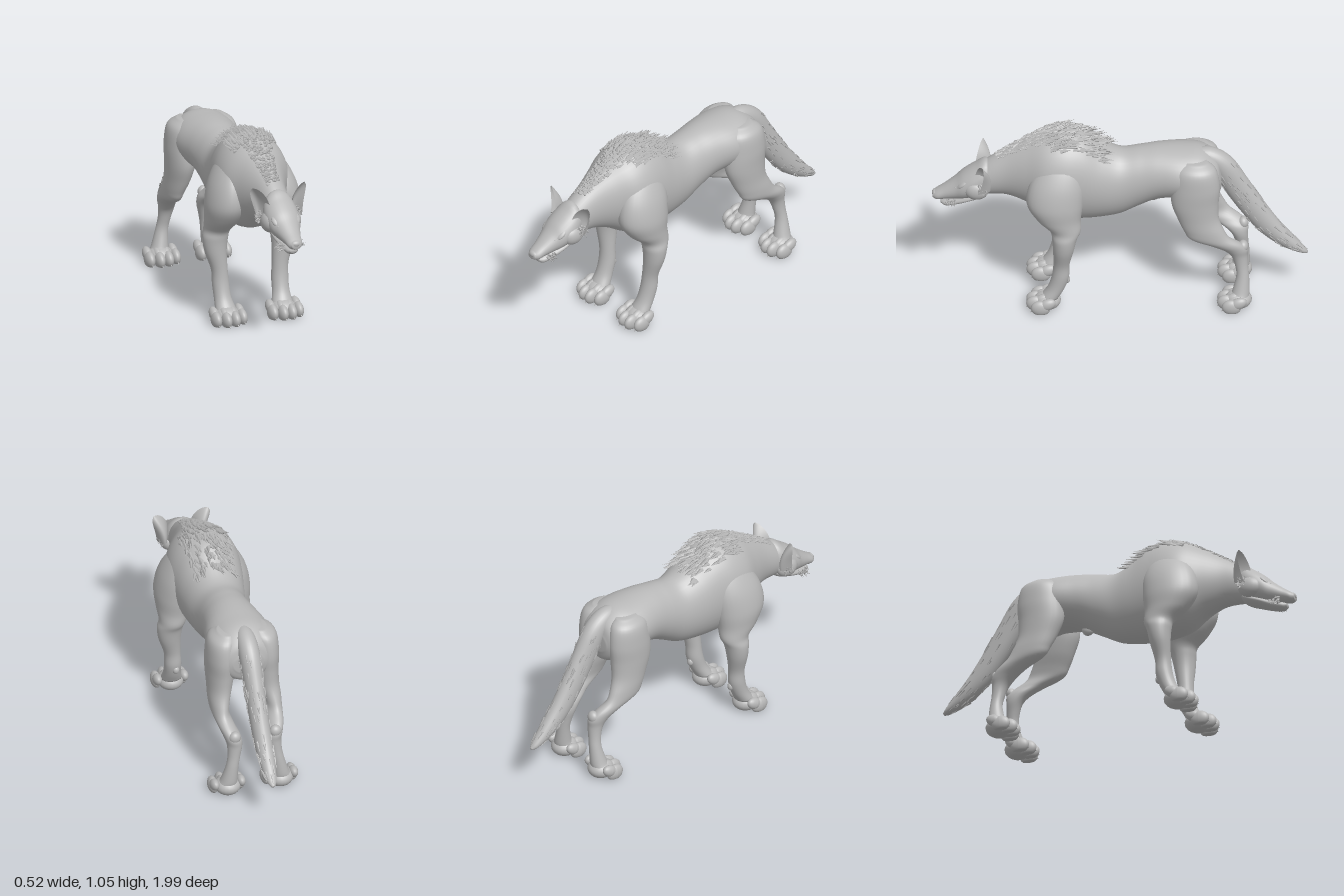
import * as THREE from 'three';
import { mergeGeometries } from 'three/addons/utils/BufferGeometryUtils.js';

const fur = new THREE.MeshStandardMaterial({ color: 0xb8b8b8, side: THREE.DoubleSide });
fur.name = 'grey fur';
const V = (x, y, z) => new THREE.Vector3(x, y, z);

let seed = 7;
const rnd = () => (seed = (seed * 16807) % 2147483647) / 2147483647;
const span = (a, b) => a + (b - a) * rnd();

function add(parent, name, geometry) {
  const m = new THREE.Mesh(geometry, fur);
  m.name = name;
  parent.add(m);
}

// Surface through sections [x, y, z, radius across, radius other way].
// mode 'z' / 'y' keeps rings in planes facing that axis, 'path' follows the curve.
function makeSkin(sections, mode) {
  const centre = new THREE.CatmullRomCurve3(sections.map(s => V(s[0], s[1], s[2])), false, 'catmullrom', 0.5);
  const radius = new THREE.CatmullRomCurve3(sections.map(s => V(s[3], s[4], 0)), false, 'catmullrom', 0.5);
  return (t, a) => {
    const c = centre.getPoint(t), r = radius.getPoint(t);
    const T = mode === 'z' ? V(0, 0, 1) : mode === 'y' ? V(0, 1, 0) : centre.getTangent(t);
    const U = V(1, 0, 0).addScaledVector(T, -T.x).normalize();
    const W = T.clone().cross(U);
    return c.addScaledVector(U, Math.cos(a) * r.x).addScaledVector(W, Math.sin(a) * r.y);
  };
}

function loft(sections, mode, radial = 28, per = 6) {
  const skin = makeSkin(sections, mode), n = (sections.length - 1) * per;
  const pos = [], idx = [];
  for (let i = 0; i <= n; i++)
    for (let j = 0; j < radial; j++) pos.push(...skin(i / n, j / radial * Math.PI * 2).toArray());
  for (let i = 0; i < n; i++)
    for (let j = 0; j < radial; j++) {
      const a = i * radial + j, b = i * radial + (j + 1) % radial;
      idx.push(a, b, b + radial, a, b + radial, a + radial);
    }
  // end caps
  const first = sections[0], last = sections[sections.length - 1], k = (n + 1) * radial;
  pos.push(first[0], first[1], first[2], last[0], last[1], last[2]);
  for (let j = 0; j < radial; j++) {
    const q = (j + 1) % radial;
    idx.push(k, q, j, k + 1, n * radial + j, n * radial + q);
  }
  const g = new THREE.BufferGeometry();
  g.setAttribute('position', new THREE.Float32BufferAttribute(pos, 3));
  g.setIndex(idx);
  g.computeVertexNormals();
  return g;
}

// rows [z, top, bottom, half width] become centred sections
const trunk = rows => rows.map(([z, t, b, w]) => [0, (t + b) / 2, z, w, (t - b) / 2]);

function blob(x, y, z, rx, ry, rz, tilt = 0) {
  const g = new THREE.SphereGeometry(1, 22, 16).scale(rx, ry, rz);
  return g.rotateX(tilt).translate(x, y, z);
}

// blob standing flat on the ground
function pad(...args) {
  const g = blob(...args), p = g.attributes.position;
  for (let i = 0; i < p.count; i++) p.setY(i, Math.max(p.getY(i), 0.003));
  g.computeVertexNormals();
  return g;
}

// flat pointed lock of hair
function lock(p, dir, len, r) {
  const g = new THREE.ConeGeometry(r, len, 5).scale(1, 1, 0.6).translate(0, len * 0.35, 0);
  g.applyQuaternion(new THREE.Quaternion().setFromUnitVectors(V(0, 1, 0), dir.normalize()));
  return g.translate(p.x, p.y, p.z);
}

// pad, four toes and claws; z is the front edge of the paw
function paw(parent, name, s, x, z) {
  const parts = [pad(s * x, 0.045, z - 0.115, 0.07, 0.05, 0.072)];
  for (let i = 0; i < 4; i++) {
    const o = (i - 1.5) * 0.048, back = Math.abs(i - 1.5) > 1 ? 0.025 : 0;
    const tx = s * x + o;
    parts.push(pad(tx, 0.036, z - 0.055 - back, 0.027, 0.044, 0.052));
    parts.push(pad(tx, 0.058, z - 0.09 - back, 0.025, 0.032, 0.048, 0.45));
    parts.push(lock(V(tx, 0.02, z - 0.014 - back), V(0, -0.7, 1), 0.022, 0.008));
  }
  add(parent, name, mergeGeometries(parts));
}

export function createModel() {
  const wolf = new THREE.Group();
  wolf.name = 'wolf';

  // trunk and neck
  const body = trunk([
    [-0.535, 0.79, 0.68, 0.08], [-0.51, 0.86, 0.62, 0.132], [-0.43, 0.912, 0.6, 0.172], [-0.32, 0.922, 0.63, 0.174],
    [-0.2, 0.922, 0.615, 0.152], [-0.1, 0.91, 0.567, 0.142], [0, 0.9, 0.515, 0.145], [0.1, 0.945, 0.495, 0.165],
    [0.2, 1.012, 0.487, 0.185], [0.3, 1.03, 0.493, 0.2], [0.4, 1.01, 0.522, 0.188], [0.5, 0.96, 0.585, 0.135],
    [0.6, 0.9, 0.622, 0.094], [0.7, 0.835, 0.625, 0.076], [0.78, 0.77, 0.62, 0.06]]);
  add(wolf, 'body', loft(body, 'z', 40));
  add(wolf, 'bellySheath', blob(0, 0.612, -0.175, 0.022, 0.035, 0.035));

  // mane of ragged locks along the withers
  const skin = makeSkin(body, 'z'), locks = [];
  for (let i = 0; i < 420; i++) {
    const t = span(6.8, 12.6) / 14, fade = t > 10 / 14 ? 0.65 : 1;
    const a = Math.PI / 2 + span(-0.7, 0.7) * fade;
    const p = skin(t, a), out = V(Math.cos(a) * 0.4, Math.sin(a) * 0.4, -1);
    out.x += span(-0.25, 0.25);
    out.y += t > 9 / 14 ? 0 : -0.35;
    locks.push(lock(p, out, span(0.04, 0.085) * fade, span(0.009, 0.017) * fade));
  }
  add(wolf, 'mane', mergeGeometries(locks));

  // head
  const head = new THREE.Group();
  head.name = 'head';
  wolf.add(head);
  add(head, 'skull', loft(trunk([
    [0.65, 0.79, 0.66, 0.04], [0.71, 0.835, 0.63, 0.08], [0.77, 0.8, 0.61, 0.093], [0.83, 0.757, 0.6, 0.085],
    [0.875, 0.715, 0.595, 0.066], [0.93, 0.672, 0.59, 0.049], [0.97, 0.645, 0.585, 0.04], [0.993, 0.63, 0.595, 0.024]]), 'z'));
  add(head, 'lowerJaw', loft(trunk([
    [0.68, 0.68, 0.65, 0.03], [0.73, 0.66, 0.608, 0.055], [0.8, 0.63, 0.582, 0.058], [0.87, 0.605, 0.557, 0.046],
    [0.925, 0.59, 0.546, 0.035], [0.95, 0.58, 0.56, 0.018]]), 'z'));
  add(head, 'nose', blob(0, 0.62, 0.977, 0.029, 0.019, 0.02));

  for (const s of [1, -1]) {
    const side = s > 0 ? 'left' : 'right';
    add(head, side + 'Brow', blob(s * 0.044, 0.71, 0.832, 0.036, 0.016, 0.045, 0.7));
    add(head, side + 'Eye', blob(s * 0.05, 0.685, 0.866, 0.012, 0.007, 0.012));
    add(head, side + 'Cheek', blob(s * 0.068, 0.68, 0.76, 0.042, 0.055, 0.065));

    // cupped ear: width tapers to the tip, middle pushed back, opening turned outward
    const ear = new THREE.PlaneGeometry(2, 1, 14, 14), q = ear.attributes.position;
    for (let i = 0; i < q.count; i++) {
      const v = q.getX(i), h = q.getY(i) + 0.5;
      const w = 0.043 * Math.pow(1 - h, 0.55) * (0.7 + h) + 0.001;
      q.setXYZ(i, s * (0.095 + 0.053 * h + v * w - 0.014 * Math.sin(h * Math.PI)), 0.7 + 0.167 * h - v * w * 0.35,
        0.762 - 0.035 * h - v * w * 0.45 - 0.075 * (1 - v * v) * (1 - h * h));
    }
    ear.computeVertexNormals();
    add(head, side + 'Ear', ear);

    // tufts on the cheeks and lips
    const tufts = [];
    for (let i = 0; i < 26; i++) {
      tufts.push(lock(V(s * span(0.095, 0.118), span(0.675, 0.735), span(0.71, 0.75)),
        V(s * span(0.3, 1), span(-0.9, 0.5), span(-0.6, 0.3)), span(0.015, 0.032), 0.007));
      tufts.push(lock(V(s * span(0.04, 0.056), span(0.57, 0.605), span(0.865, 0.92)),
        V(s, span(-0.8, 0.6), span(-0.6, 0.4)), span(0.015, 0.045), 0.006));
    }
    add(head, side + 'FaceTufts', mergeGeometries(tufts));

    // front leg, from shoulder blade to wrist in one skin
    const front = new THREE.Group();
    front.name = side + 'FrontLeg';
    wolf.add(front);
    add(front, 'shoulderAndLeg', loft([
      [s * 0.09, 0.93, 0.3, 0.03, 0.05], [s * 0.122, 0.87, 0.315, 0.058, 0.105], [s * 0.143, 0.77, 0.335, 0.09, 0.145],
      [s * 0.155, 0.66, 0.345, 0.103, 0.15], [s * 0.164, 0.57, 0.325, 0.09, 0.118], [s * 0.178, 0.505, 0.29, 0.071, 0.083],
      [s * 0.19, 0.455, 0.294, 0.069, 0.066], [s * 0.19, 0.38, 0.3, 0.06, 0.055], [s * 0.173, 0.28, 0.31, 0.045, 0.043],
      [s * 0.168, 0.2, 0.316, 0.046, 0.046], [s * 0.165, 0.13, 0.338, 0.047, 0.046], [s * 0.16, 0.07, 0.373, 0.057, 0.05]], 'y'));
    add(front, 'dewPad', blob(s * 0.16, 0.175, 0.28, 0.018, 0.022, 0.016));
    paw(front, 'paw', s, 0.16, 0.5);

    // hind leg, from haunch to ankle in one skin
    const hind = new THREE.Group();
    hind.name = side + 'HindLeg';
    wolf.add(hind);
    add(hind, 'haunchAndLeg', loft([
      [s * 0.09, 0.885, -0.4, 0.04, 0.06], [s * 0.11, 0.84, -0.4, 0.073, 0.11], [s * 0.118, 0.74, -0.4, 0.08, 0.128],
      [s * 0.122, 0.64, -0.396, 0.075, 0.125], [s * 0.13, 0.55, -0.413, 0.064, 0.11], [s * 0.142, 0.48, -0.443, 0.053, 0.107],
      [s * 0.145, 0.43, -0.475, 0.046, 0.106], [s * 0.132, 0.385, -0.556, 0.045, 0.087], [s * 0.115, 0.345, -0.607, 0.046, 0.068],
      [s * 0.108, 0.3, -0.63, 0.041, 0.045], [s * 0.115, 0.24, -0.642, 0.034, 0.035], [s * 0.126, 0.18, -0.648, 0.034, 0.034],
      [s * 0.14, 0.1, -0.64, 0.044, 0.045], [s * 0.146, 0.07, -0.633, 0.052, 0.05]], 'y'));
    add(hind, 'hock', blob(s * 0.112, 0.358, -0.65, 0.032, 0.034, 0.028));
    paw(hind, 'paw', s, 0.145, -0.51);
  }

  // tail with shaggy locks
  const tailRows = [
    [0, 0.87, -0.4, 0.04, 0.04], [0, 0.855, -0.475, 0.052, 0.055], [0, 0.795, -0.545, 0.056, 0.066],
    [0, 0.675, -0.615, 0.053, 0.07], [0, 0.55, -0.692, 0.051, 0.067], [0, 0.42, -0.785, 0.048, 0.06],
    [0, 0.325, -0.88, 0.041, 0.044], [0, 0.265, -0.96, 0.026, 0.021], [0, 0.246, -0.99, 0.009, 0.007]];
  add(wolf, 'tail', loft(tailRows, 'path'));
  const tailSkin = makeSkin(tailRows, 'path'), shag = [];
  for (let i = 0; i < 120; i++) {
    const t = span(0.25, 0.85), a = span(0, Math.PI * 2);
    const p = tailSkin(t, a), flow = tailSkin(t + 0.05, a).sub(p).normalize();
    flow.addScaledVector(p.clone().sub(tailSkin(t, a + Math.PI)).normalize(), 0.06);
    shag.push(lock(p, flow, span(0.03, 0.065), span(0.005, 0.009)));
  }
  add(wolf, 'tailLocks', mergeGeometries(shag));
  return wolf;
}
